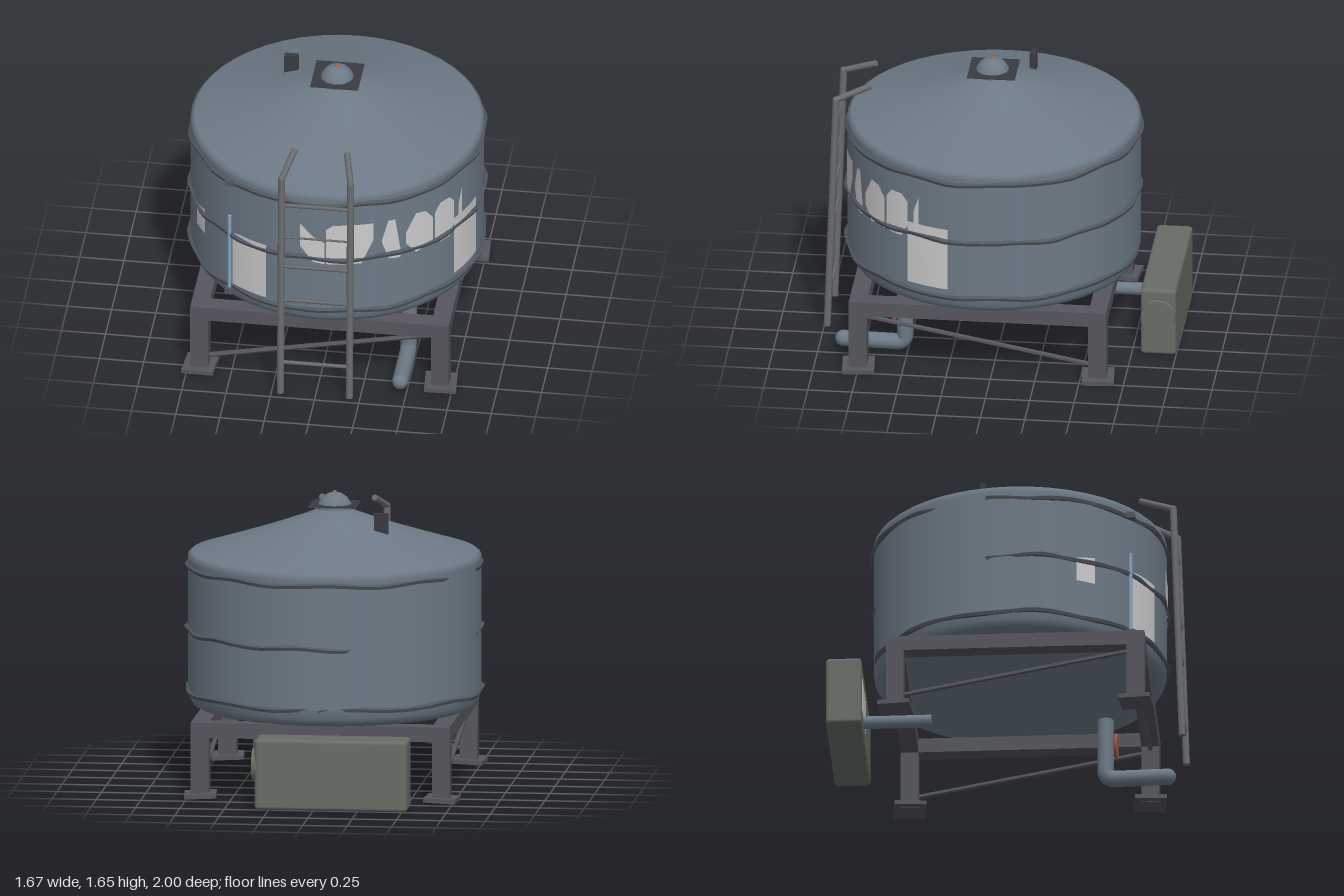
import * as THREE from 'three';
import { RoundedBoxGeometry } from 'three/addons/geometries/RoundedBoxGeometry.js';

const V = (x, y, z) => new THREE.Vector3(x, y, z);
const mat = (color, extra = {}) => new THREE.MeshStandardMaterial({ color, ...extra });
const steel = mat(0x6d7a87);
const trim = mat(0x50565e, { flatShading: true });
const frameMat = mat(0x56565e, { flatShading: true });
const railMat = mat(0x6b6d70);
const dark = mat(0x3a3b42, { side: THREE.DoubleSide });
const green = mat(0x666e66);
const copper = mat(0xa8604c);
const blue = mat(0x86a6c0);
const paint = mat(0xcccccc, { side: THREE.DoubleSide });

const R = 0.822, CZ = 0.06; // tank radius and its centre in z

export function createModel() {
  const model = new THREE.Group();

  const add = (name, geometry, material, x = 0, y = 0, z = 0) => {
    const mesh = new THREE.Mesh(geometry, material);
    mesh.name = name;
    mesh.position.set(x, y, z);
    model.add(mesh);
    return mesh;
  };
  const box = (name, w, h, d, x, y, z, m) => add(name, new THREE.BoxGeometry(w, h, d), m, x, y, z);
  const rod = (name, a, b, r, m, sides = 8) => {
    const mesh = add(name, new THREE.CylinderGeometry(r, r, a.distanceTo(b), sides), m);
    mesh.position.copy(a).lerp(b, 0.5);
    mesh.quaternion.setFromUnitVectors(V(0, 1, 0), b.clone().sub(a).normalize());
    return mesh;
  };
  const lathe = (name, pts) => add(name,
    new THREE.LatheGeometry(pts.map(p => new THREE.Vector2(...p)), 48), steel, 0, 0, CZ);

  // Tank shell
  lathe('tankFloor', [[0, 0.44], [0.76, 0.44]]);
  lathe('tankLowerEdge', [[0.76, 0.44], [0.795, 0.455], [0.815, 0.49], [R, 0.54]]);
  lathe('tankWall', [[R, 0.54], [R, 1.27]]);
  lathe('roofRim', [[R, 1.27], [R, 1.295], [0.805, 1.31]]);
  lathe('roof', [[0.805, 1.31], [0.6, 1.373], [0.4, 1.437], [0.2, 1.508], [0.09, 1.55], [0, 1.57]]);

  // Dented hoops, open at the back left where they sink into the wall
  const hoop = (y, from, to, seed) => {
    const pts = [];
    const n = 40;
    for (let i = 0; i <= n; i++) {
      const t = from + (to - from) * i / n;
      const taper = Math.min(1, i / 3, (n - i) / 3);
      const r = R - 0.014 + 0.014 * taper + 0.007 * Math.sin(i * 2.1 + seed);
      pts.push(V(r * Math.sin(t), y + 0.007 * Math.sin(i * 1.3 + seed * 2), CZ + r * Math.cos(t)));
    }
    add('hoop', new THREE.TubeGeometry(new THREE.CatmullRomCurve3(pts), 80, 0.016, 5), trim);
  };
  hoop(1.24, -1.75, 4.15, 1);
  hoop(0.88, -1.75, 3.4, 2);
  hoop(0.535, -3.14, 3.14, 3);

  // Faded paint patches that follow the wall: columns of [angle, low y, high y]
  const patch = (cols) => {
    const pos = [], index = [], r = R + 0.004;
    for (let c = 0; c < cols.length - 1; c++) {
      for (let s = 0; s <= 4; s++) {
        const [t, lo, hi] = cols[c].map((v, k) => v + (cols[c + 1][k] - v) * s / 4);
        const i = pos.length / 3;
        for (const y of [lo, hi]) pos.push(r * Math.sin(t), y, CZ + r * Math.cos(t));
        if (s < 4) index.push(i, i + 2, i + 1, i + 1, i + 2, i + 3);
      }
    }
    const g = new THREE.BufferGeometry();
    g.setAttribute('position', new THREE.Float32BufferAttribute(pos, 3));
    g.setIndex(index);
    g.computeVertexNormals();
    add('paintPatch', g, paint);
  };
  patch([[-1.12, 0.75, 0.89], [-0.98, 0.75, 0.91]]);
  patch([[-0.655, 0.56, 0.9], [-0.6, 0.56, 0.91], [-0.37, 0.56, 0.91]]);
  patch([[1.05, 0.58, 0.95], [1.36, 0.58, 0.95]]);
  patch([[-0.12, 0.96, 1.11], [-0.03, 0.86, 1.03], [0.05, 0.85, 0.99]]);
  patch([[0.06, 0.85, 1.08], [0.11, 0.85, 1.11], [0.3, 0.85, 1.11], [0.385, 1.0, 1.11]]);
  patch([[0.445, 0.97, 0.99], [0.49, 0.86, 1.11], [0.54, 0.85, 1.11], [0.58, 0.85, 0.9]]);
  patch([[0.62, 0.93, 1.0], [0.7, 0.85, 1.11], [0.78, 0.87, 1.1], [0.84, 0.85, 1.04]]);
  patch([[0.86, 0.86, 1.06], [0.91, 0.85, 1.11], [1.0, 0.85, 1.11], [1.05, 0.92, 1.07]]);
  patch([[1.1, 0.95, 1.02], [1.14, 0.95, 1.11]]);

  // Roof hatch and vent
  add('hatchDome', new THREE.SphereGeometry(0.1, 12, 8), steel, 0, 1.545, CZ + 0.01);
  box('hatchPlate', 0.27, 0.004, 0.27, 0, 1.575, CZ + 0.005, dark);
  add('hatchKnob', new THREE.SphereGeometry(0.015, 8, 6), copper, 0, 1.64, CZ + 0.01);
  box('roofVent', 0.08, 0.12, 0.035, -0.285, 1.5, -0.13, dark);

  // Level gauge
  rod('gaugeTube', V(-0.52, 0.52, 0.71), V(-0.52, 1.01, 0.71), 0.011, blue);
  for (const y of [0.515, 1.24]) box('gaugeBracket', 0.05, 0.035, 0.05, -0.52, y, 0.71, trim);

  // Ladder
  for (const s of [-1, 1]) {
    const foot = V(s * 0.195, 0.03, 0.98), bend = V(s * 0.195, 1.43, 0.93), tip = V(s * 0.148, 1.505, 0.74);
    rod('ladderRail', foot, bend, 0.02, railMat);
    rod('ladderHandle', bend, tip, 0.018, railMat);
    add('ladderBend', new THREE.SphereGeometry(0.02, 8, 6), railMat, bend.x, bend.y, bend.z);
  }
  for (const y of [0.23, 0.64, 0.86, 1.05, 1.26]) {
    const z = 0.98 - 0.05 * (y - 0.03) / 1.4;
    rod('ladderRung', V(-0.195, y, z), V(0.195, y, z), y === 1.05 ? 0.006 : 0.011, railMat, 6);
  }

  // Support frame
  const zFront = 0.75, zBack = -0.6, zMid = (zFront + zBack) / 2;
  for (const z of [zFront, zBack]) {
    box('crossBeam', 1.46, 0.085, 0.1, 0, 0.395, z, frameMat);
    for (const s of [-1, 1]) {
      box('leg', 0.1, 0.38, 0.1, s * 0.68, 0.2, z, frameMat);
      const plate = box('footPlate', 0.18, 0.025, 0.18, s * 0.68, 0.024, z, frameMat);
      plate.rotation.set(0, s * 0.08, s * -0.04);
    }
  }
  for (const s of [-1, 1]) {
    box('sideBeam', 0.1, 0.085, zFront - zBack - 0.1, s * 0.68, 0.395, zMid, frameMat);
    rod('sideBrace', V(s * 0.68, 0.33, 0.7), V(s * 0.68, 0.1, -0.55), 0.014, frameMat, 6);
  }
  rod('frontBrace', V(-0.64, 0.09, 0.75), V(0.64, 0.34, 0.75), 0.014, frameMat, 6);

  // Outlet pipe with valve wheel
  const outlet = new THREE.CurvePath();
  outlet.add(new THREE.LineCurve3(V(0.465, 0.46, 0.51), V(0.465, 0.13, 0.51)));
  outlet.add(new THREE.QuadraticBezierCurve3(V(0.465, 0.13, 0.51), V(0.465, 0.08, 0.51), V(0.465, 0.08, 0.56)));
  outlet.add(new THREE.LineCurve3(V(0.465, 0.08, 0.56), V(0.465, 0.085, 0.86)));
  add('outletPipe', new THREE.TubeGeometry(outlet, 60, 0.046, 12), steel);
  add('outletCap', new THREE.SphereGeometry(0.046, 12, 8), steel, 0.465, 0.085, 0.86);
  add('valveWheel', new THREE.TorusGeometry(0.065, 0.01, 6, 14), copper, 0.465, 0.28, 0.57);
  for (let i = 0; i < 2; i++) {
    const a = Math.PI * (0.25 + i * 0.5), dx = 0.06 * Math.cos(a), dy = 0.06 * Math.sin(a);
    rod('valveSpoke', V(0.465 - dx, 0.28 - dy, 0.57), V(0.465 + dx, 0.28 + dy, 0.57), 0.006, copper, 6);
  }

  // Pump housing behind the tank
  add('pumpHousing', new RoundedBoxGeometry(0.86, 0.4, 0.2, 3, 0.02), green, -0.1, 0.208, -0.9);
  const disc = add('pumpCover', new THREE.CylinderGeometry(0.095, 0.1, 0.03, 20), green, 0.335, 0.25, -0.9);
  disc.rotation.z = -Math.PI / 2;
  box('pumpPanel', 0.31, 0.2, 0.004, -0.305, 0.21, -0.8, paint);
  rod('pumpPipe', V(-0.31, 0.105, -0.82), V(-0.31, 0.105, -0.42), 0.036, steel, 12);

  return model;
}
